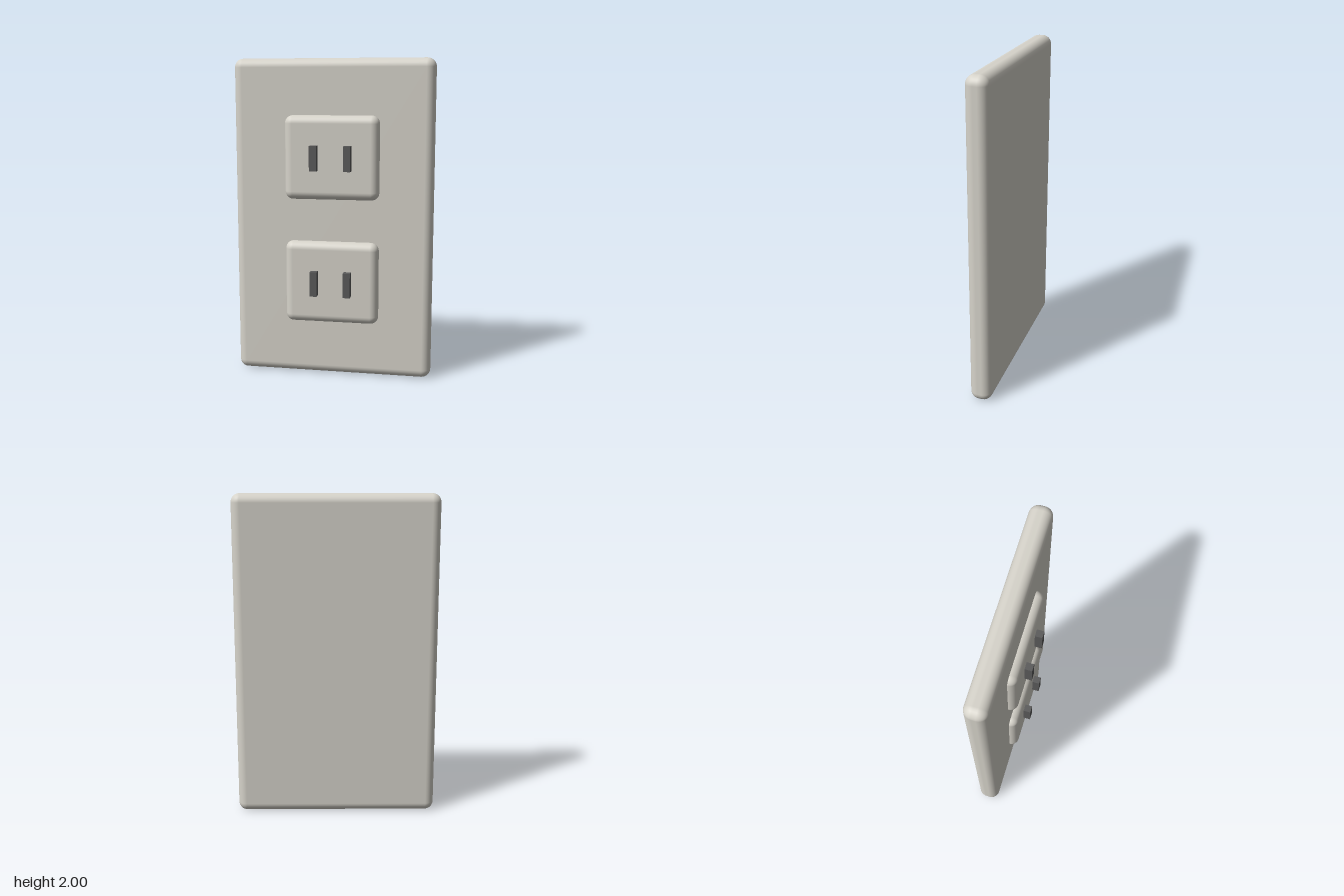
import * as THREE from 'three';
import { RoundedBoxGeometry } from 'three/addons/geometries/RoundedBoxGeometry.js';

export function createModel() {
  const group = new THREE.Group();
  const ivory = new THREE.MeshStandardMaterial({ name: 'warm grey plastic', color: 0xd6d3ca });
  const dark = new THREE.MeshStandardMaterial({ name: 'dark grey', color: 0x5a5a5a });

  const add = (name, geometry, material, x, y, z) => {
    const mesh = new THREE.Mesh(geometry, material);
    mesh.name = name;
    mesh.position.set(x, y, z);
    group.add(mesh);
  };

  // Wall plate with softly rounded edges
  add('wallPlate', new RoundedBoxGeometry(1.25, 2, 0.135, 4, 0.055), ivory, 0, 1, -0.0475);

  // Two raised sockets, half sunk into the plate, each with a pair of contacts
  const socket = new RoundedBoxGeometry(0.59, 0.52, 0.1, 4, 0.05);
  const contact = new THREE.BoxGeometry(0.045, 0.155, 0.09);
  for (const [level, y] of [['upper', 1.395], ['lower', 0.61]]) {
    add(`${level}Socket`, socket, ivory, 0, y, 0.02);
    for (const [side, x] of [['Left', 0.105], ['Right', -0.105]]) {
      add(`${level}${side}Contact`, contact, dark, x, y, 0.07);
    }
  }
  return group;
}
